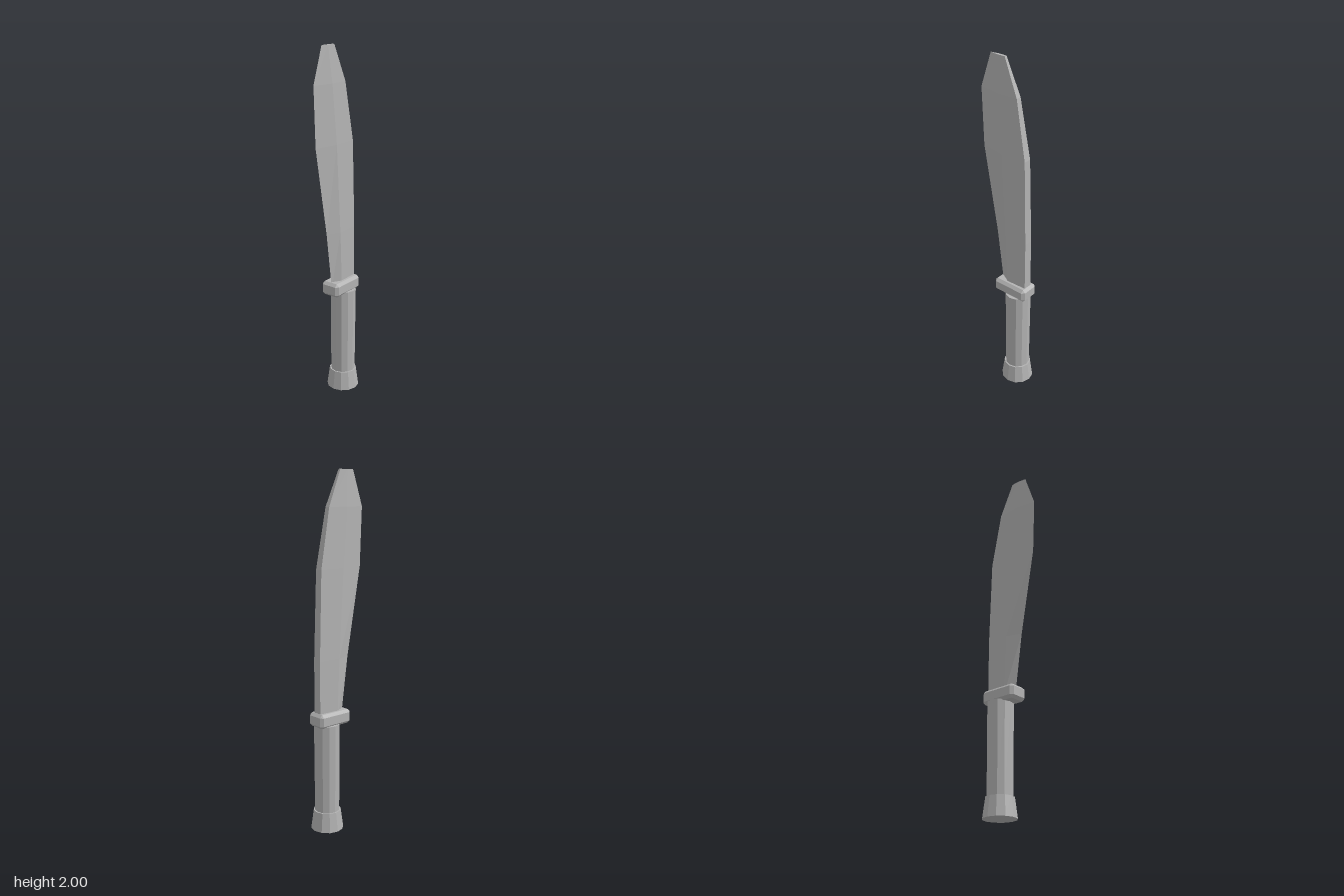
import * as THREE from 'three';
import { ConvexGeometry } from 'three/addons/geometries/ConvexGeometry.js';

const GRIP_Z = -0.082;

// Lofted blade: each section is [y, edgeZ, ridgeZ, spineZ, ridgeHalfWidth, spineHalfWidth]
function bladeGeometry() {
  const sections = [
    [0.65, 0.025, -0.03, -0.15, 0.03, 0.025],
    [0.985, 0.07, -0.015, -0.15, 0.03, 0.025],
    [1.48, 0.159, 0.015, -0.135, 0.028, 0.022],
    [1.805, 0.172, 0.045, -0.074, 0.022, 0.015],
    [2.0, 0.106, 0.062, 0.01, 0.008, 0.007],
  ];
  const rings = sections.map(([y, edge, ridge, spine, rw, sw]) => [
    [0, y, edge], [rw, y, ridge], [sw, y, spine], [-sw, y, spine], [-rw, y, ridge],
  ]);
  const positions = [];
  const tri = (a, b, c) => positions.push(...a, ...b, ...c);
  for (let i = 0; i < rings.length - 1; i++) {
    const lower = rings[i], upper = rings[i + 1];
    for (let j = 0; j < 5; j++) {
      const k = (j + 1) % 5;
      tri(lower[j], lower[k], upper[k]);
      tri(lower[j], upper[k], upper[j]);
    }
  }
  // End caps
  const bottom = rings[0], top = rings[rings.length - 1];
  for (let j = 1; j < 4; j++) {
    tri(top[0], top[j], top[j + 1]);
    tri(bottom[0], bottom[j + 1], bottom[j]);
  }
  const geometry = new THREE.BufferGeometry();
  geometry.setAttribute('position', new THREE.Float32BufferAttribute(positions, 3));
  geometry.computeVertexNormals();
  return geometry;
}

// Box with every edge and corner cut by the same bevel
function chamferedBox(w, h, d, bevel) {
  const points = [];
  for (const sx of [-1, 1]) for (const sy of [-1, 1]) for (const sz of [-1, 1]) {
    for (let full = 0; full < 3; full++) {
      const inset = (axis) => (axis === full ? 0 : bevel);
      points.push(new THREE.Vector3(
        sx * (w / 2 - inset(0)), sy * (h / 2 - inset(1)), sz * (d / 2 - inset(2))));
    }
  }
  return new ConvexGeometry(points);
}

export function createModel() {
  const model = new THREE.Group();
  model.name = 'machete';
  const grey = new THREE.MeshStandardMaterial({ color: 0xb2b2b2, flatShading: true });
  grey.name = 'grey';

  const add = (name, geometry, y, z) => {
    const mesh = new THREE.Mesh(geometry, grey);
    mesh.name = name;
    mesh.position.set(0, y, z);
    model.add(mesh);
  };

  add('blade', bladeGeometry(), 0, 0);
  add('guard', chamferedBox(0.116, 0.08, 0.217, 0.0155), 0.651, -0.059);
  // Twelve-sided grip, slightly wider at the top, and flared pommel
  add('grip', new THREE.CylinderGeometry(0.073, 0.07, 0.52, 12), 0.36, GRIP_Z);
  add('pommel', new THREE.CylinderGeometry(0.078, 0.093, 0.11, 12), 0.055, GRIP_Z);
  return model;
}
